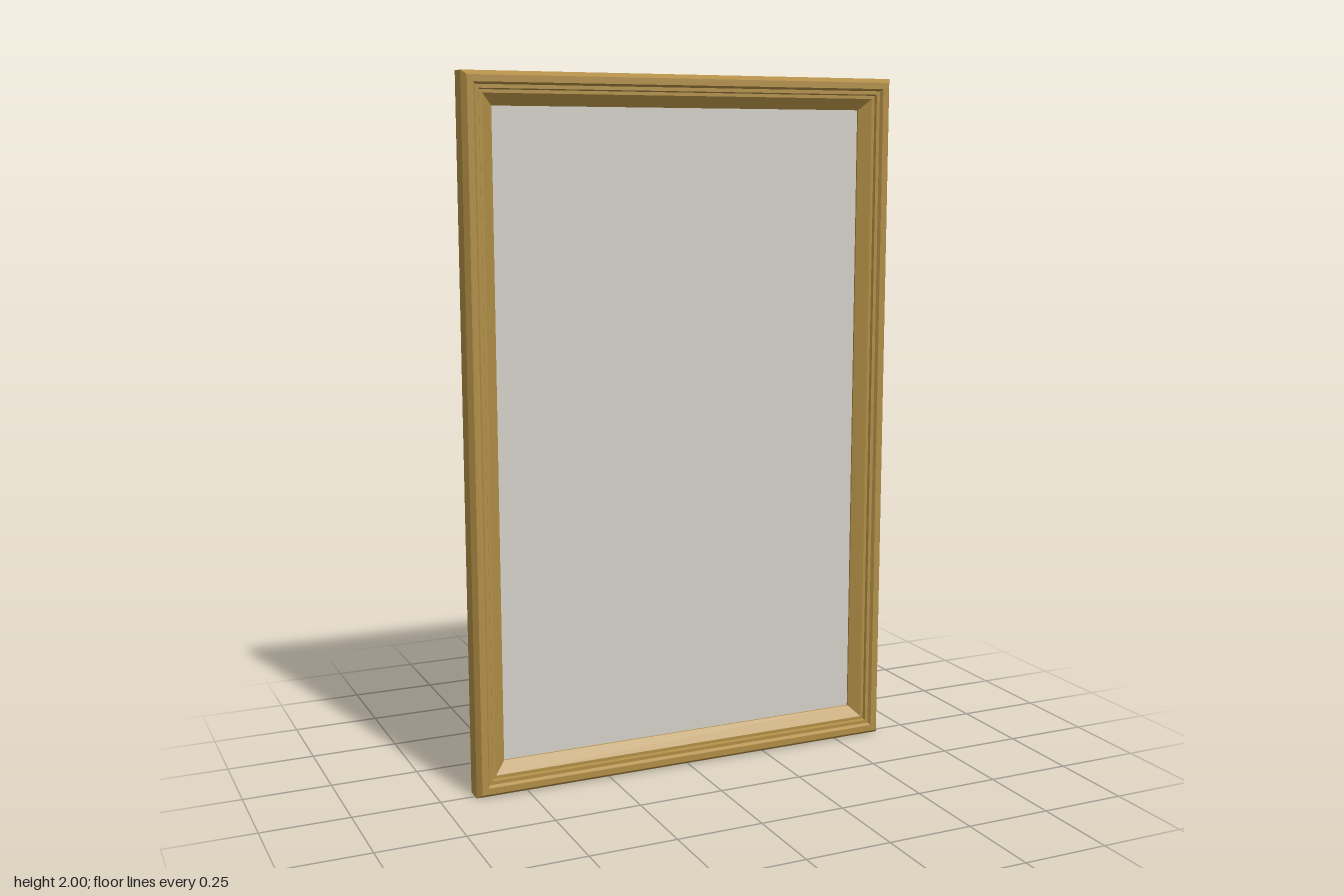
import * as THREE from 'three';

const W = 0.65, H = 1, MID = 1; // half width, half height, centre height
const BACK = -0.034;

// Moulding cross-section: [inset from the outer edge, z], from back to inner lip
const PROFILE = [
  [0, BACK], [0, 0.016], [0.012, 0.033], [0.03, 0.033], [0.036, 0.024],
  [0.046, 0.024], [0.049, 0.016], [0.058, 0.016], [0.09, -0.008], [0.09, -0.022],
];

// Sweeps the profile round a rectangle with mitred corners
function mouldingGeometry(profile) {
  const signs = [[-1, -1], [1, -1], [1, 1], [-1, 1]];
  const at = (corner, [inset, z]) => {
    const [sx, sy] = signs[corner % 4];
    return [sx * (W - inset), MID + sy * (H - inset), z];
  };
  const positions = [];
  for (let side = 0; side < 4; side++) {
    for (let i = 0; i < profile.length - 1; i++) {
      const a = at(side, profile[i]), b = at(side + 1, profile[i]);
      const c = at(side + 1, profile[i + 1]), d = at(side, profile[i + 1]);
      positions.push(...a, ...b, ...c, ...a, ...c, ...d);
    }
  }
  const geometry = new THREE.BufferGeometry();
  geometry.setAttribute('position', new THREE.Float32BufferAttribute(positions, 3));
  geometry.computeVertexNormals();
  return geometry;
}

export function createModel() {
  const gold = new THREE.MeshStandardMaterial({ color: 0xb08d45 });
  gold.name = 'antique gold';
  const canvas = new THREE.MeshStandardMaterial({ color: 0xd2cec6 });
  canvas.name = 'pale grey';
  const wood = new THREE.MeshStandardMaterial({ color: 0x735a40 });
  wood.name = 'brown backing';

  const group = new THREE.Group();
  group.name = 'pictureFrame';
  const add = (name, geometry, material, z = 0) => {
    const mesh = new THREE.Mesh(geometry, material);
    mesh.name = name;
    mesh.position.z = z;
    group.add(mesh);
    return mesh;
  };

  // Stepped gold moulding
  add('frameMoulding', mouldingGeometry(PROFILE), gold);

  // Pale panel tucked behind the inner lip
  add('panel', new THREE.BoxGeometry(2 * W - 0.17, 2 * H - 0.17, 0.008), canvas, -0.017).position.y = MID;

  // Backing sheet flush with the rear edge
  add('backing', new THREE.PlaneGeometry(2 * W, 2 * H).rotateY(Math.PI), wood, BACK).position.y = MID;

  return group;
}
